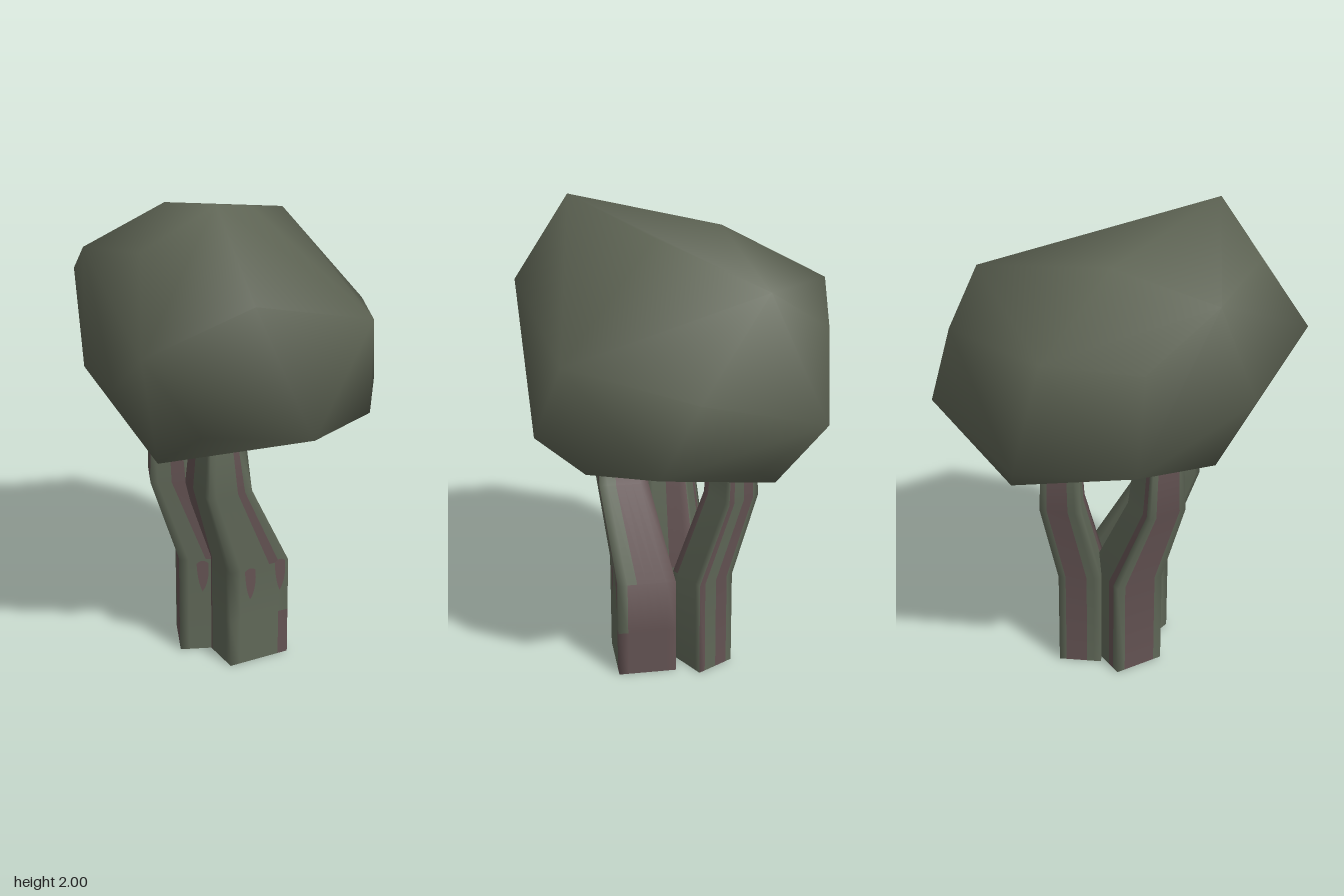
import * as THREE from 'three';
import { mergeVertices } from 'three/addons/utils/BufferGeometryUtils.js';
import { ConvexGeometry } from 'three/addons/geometries/ConvexGeometry.js';

const COLUMNS = 24;

// Square stem: sections [y, centreX, centreZ, cornerRadiusX, cornerRadiusZ] joined by strips.
// streaks: [fromDegrees, toDegrees, firstLevel, lastLevel] painted with the second material.
function stemGeometry(turn, sections, streaks) {
  const per = COLUMNS / 4;
  const pos = [], plain = [], streaked = [];
  const corner = (k) => {
    const a = THREE.MathUtils.degToRad(turn + k * 90);
    return [Math.cos(a), Math.sin(a)];
  };
  for (const [y, cx, cz, rx, rz] of sections) {
    for (let j = 0; j < COLUMNS; j++) {
      const k = Math.floor(j / per), t = (j % per) / per;
      const p = corner(k), q = corner(k + 1);
      pos.push(cx + rx * (p[0] + (q[0] - p[0]) * t), y, cz + rz * (p[1] + (q[1] - p[1]) * t));
    }
  }
  for (let i = 0; i < sections.length - 1; i++) {
    for (let j = 0; j < COLUMNS; j++) {
      const n = (j + 1) % COLUMNS;
      const a = i * COLUMNS + j, b = a + COLUMNS;
      const c = (i + 1) * COLUMNS + n, d = i * COLUMNS + n;
      const deg = turn + ((j + 0.5) * 360) / COLUMNS;
      const hit = streaks.some(([from, to, lo, hi]) =>
        i >= lo && i <= hi && ((deg - from + 720) % 360) < to - from);
      (hit ? streaked : plain).push(a, b, c, a, c, d);
    }
  }
  const geo = new THREE.BufferGeometry();
  geo.setAttribute('position', new THREE.Float32BufferAttribute(pos, 3));
  geo.setIndex([...plain, ...streaked]);
  geo.addGroup(0, plain.length, 0);
  geo.addGroup(plain.length, streaked.length, 1);
  geo.computeVertexNormals();
  return geo;
}

// Convex hull with soft normals, eased toward the direction from its centre
function crownGeometry(points, centre) {
  const hull = new ConvexGeometry(points.map((p) => new THREE.Vector3(...p)));
  hull.deleteAttribute('normal');
  const geo = mergeVertices(hull, 1e-4);
  geo.computeVertexNormals();
  const { position, normal } = geo.attributes;
  const n = new THREE.Vector3(), out = new THREE.Vector3();
  for (let i = 0; i < position.count; i++) {
    out.fromBufferAttribute(position, i).sub(centre).normalize();
    n.fromBufferAttribute(normal, i).addScaledVector(out, 0.5).normalize();
    normal.setXYZ(i, n.x, n.y, n.z);
  }
  return geo;
}

export function createModel() {
  const group = new THREE.Group();
  const leaf = new THREE.MeshStandardMaterial({ color: 0x5e6454 });
  leaf.name = 'leafGreen';
  const bark = new THREE.MeshStandardMaterial({ color: 0x606858, side: THREE.DoubleSide });
  bark.name = 'barkGreen';
  const streak = new THREE.MeshStandardMaterial({ color: 0x645353, side: THREE.DoubleSide });
  streak.name = 'barkMauve';

  const add = (name, geo, mat) => {
    const mesh = new THREE.Mesh(geo, mat);
    mesh.name = name;
    group.add(mesh);
    return mesh;
  };

  // Crown
  add('crown', crownGeometry([
    [-0.27, 2.0, 0.41], [-0.53, 1.83, 0.31], [-0.18, 1.87, -0.2], [0.05, 1.89, 0.1],
    [0.41, 1.77, -0.28], [0.35, 1.6, -0.52], [-0.59, 1.77, -0.07], [-0.18, 1.63, -0.635],
    [-0.23, 1.67, 0.635], [-0.63, 1.5, 0.52], [0.625, 1.42, 0.02], [-0.49, 1.59, -0.41],
    [0.48, 1.25, -0.5], [-0.6, 1.28, 0.2], [-0.03, 1.13, -0.62], [0.6, 1.12, 0.17],
    [0.5, 1.08, -0.22], [0.36, 1.5, 0.51], [0.41, 1.08, 0.43], [0.05, 1.09, 0.6],
    [-0.35, 1.12, 0.44], [-0.46, 1.16, -0.41], [-0.42, 0.94, 0.2], [0.2, 0.89, -0.36],
  ], new THREE.Vector3(0, 1.43, 0)), leaf);

  // Three leaning stems, open at the base
  add('frontStem', stemGeometry(45, [
    [0, -0.005, 0.16, 0.191, 0.173],
    [0.2, -0.005, 0.16, 0.191, 0.173],
    [0.43, -0.005, 0.16, 0.191, 0.173],
    [0.8, -0.165, 0.225, 0.137, 0.146],
    [0.985, -0.175, 0.23, 0.106, 0.127],
  ], [[-45, 60, 0, 0], [-45, 30, 1, 1], [-45, 15, 2, 3], [60, 75, 2, 3], [195, 240, 0, 3]]),
  [bark, streak]);

  add('backStem', stemGeometry(15, [
    [0, 0.048, -0.09, 0.127, 0.125],
    [0.42, 0.048, -0.09, 0.127, 0.125],
    [0.79, 0.06, -0.205, 0.126, 0.112],
    [0.98, 0.06, -0.21, 0.116, 0.1],
  ], [[0, 15, 0, 2], [-60, -30, 0, 2], [-135, -90, 0, 2], [90, 135, 1, 2]]), [bark, streak]);

  add('sideStem', stemGeometry(67, [
    [0, -0.12, 0, 0.153, 0.155],
    [0.42, -0.12, 0, 0.153, 0.155],
    [0.79, -0.27, 0, 0.12, 0.12],
    [1.02, -0.28, 0, 0.1, 0.105],
  ], [[82, 105, 1, 2], [172, 230, 0, 2], [262, 280, 0, 2], [-30, 20, 1, 2]]), [bark, streak]);

  // Bark drips: thin teardrop patches
  const drip = new THREE.Shape();
  drip.moveTo(-0.025, 0.06);
  drip.quadraticCurveTo(0, 0.085, 0.025, 0.06);
  drip.quadraticCurveTo(0.03, -0.03, 0, -0.07);
  drip.quadraticCurveTo(-0.02, -0.03, -0.025, 0.06);
  const dripGeo = new THREE.ShapeGeometry(drip, 5);
  for (const [x, y, z, turn] of [
    [-0.05, 0.36, 0.284, 0], [0.09, 0.37, 0.284, 0], [-0.177, 0.345, 0.104, -0.384],
  ]) {
    const patch = add('barkDrip', dripGeo, streak);
    patch.position.set(x, y, z);
    patch.rotation.y = turn;
  }

  return group;
}
